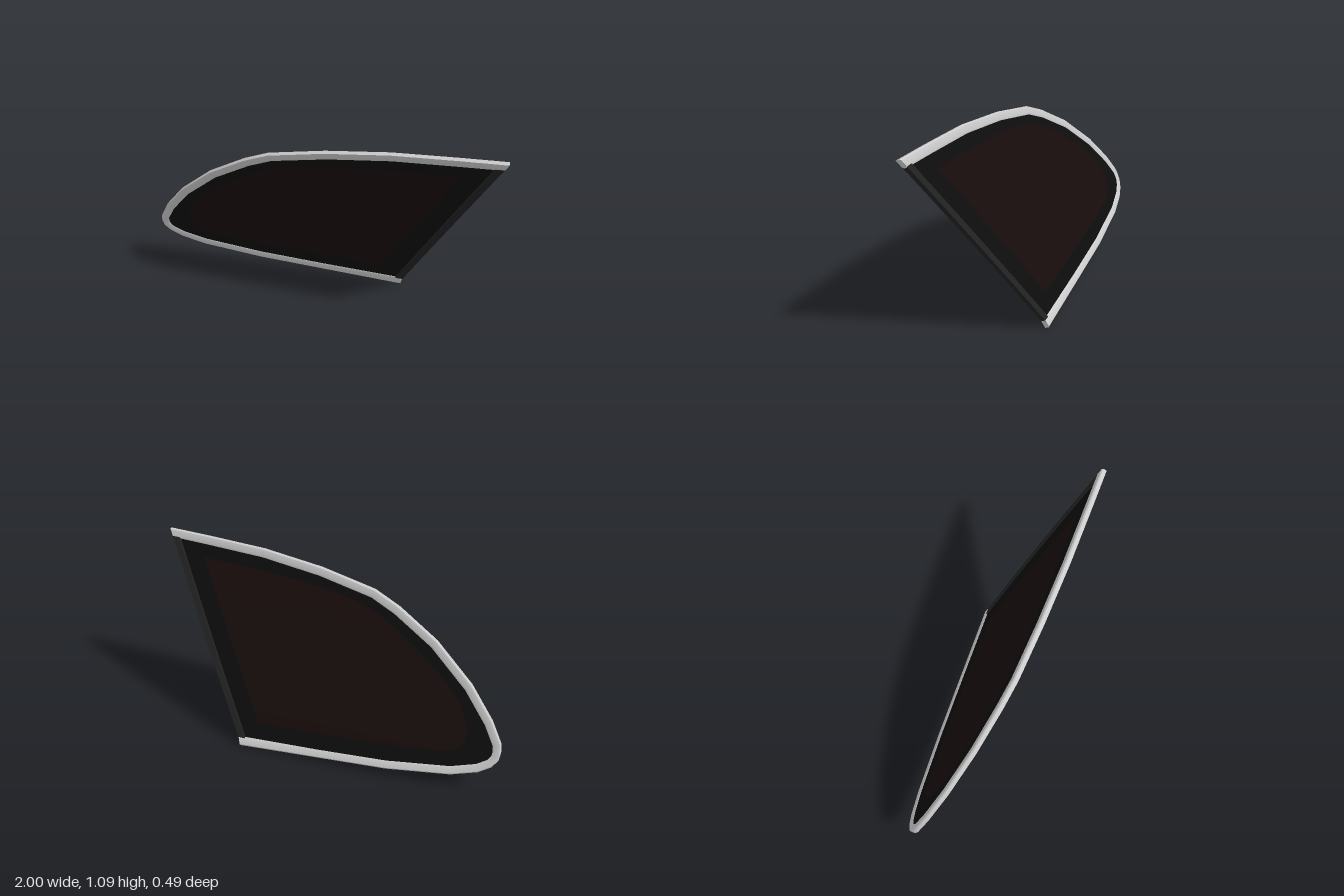
import * as THREE from 'three';
import { toCreasedNormals } from 'three/addons/utils/BufferGeometryUtils.js';
import { ParametricGeometry } from 'three/addons/geometries/ParametricGeometry.js';

// Outlines run from the top right corner round the pointed end to the bottom right
const outer = [[1, 1.085], [0.77, 1.075], [0.436, 1.056], [0.1, 1.012], [-0.206, 0.948], [-0.35, 0.885],
  [-0.575, 0.753], [-0.792, 0.572], [-0.928, 0.414], [-0.992, 0.31], [-1, 0.265], [-0.995, 0.225], [-0.965, 0.183],
  [-0.9, 0.143], [-0.757, 0.1], [-0.404, 0.055], [-0.01, 0.032], [0.457, 0.005]];
const tintEdge = [[0.78, 0.965], [0.35, 0.94], [0, 0.9], [-0.25, 0.83], [-0.5, 0.68], [-0.7, 0.52], [-0.79, 0.39],
  [-0.8, 0.28], [-0.72, 0.22], [-0.45, 0.19], [0, 0.165], [0.36, 0.15]];

const vec2 = (pts) => pts.map(([x, y]) => new THREE.Vector2(x, y));

// Maps a front outline point and a depth behind it onto the leaning, slightly bowed pane
function onPane(x, y, depth, target = new THREE.Vector3()) {
  const t = y / 1.09;
  const z = 0.22 + (y - 1.04) * 0.438 - 0.028 * t * (1 - t);
  return target.set(x, y + depth * 0.4, z - depth * 0.916);
}

// Inward direction at every point of a path; the ends can be cut at a given slant
function inwardDirs(path, startDir, endDir) {
  const n = path.length;
  const dirs = path.map((p, i) => {
    const d = path[Math.min(i + 1, n - 1)].clone().sub(path[Math.max(i - 1, 0)]).normalize();
    return new THREE.Vector2(-d.y, d.x);
  });
  if (startDir) dirs[0].set(...startDir);
  if (endDir) dirs[n - 1].set(...endDir);
  return dirs;
}

// Sweeps a closed (inset, depth) profile along a path, with capped ends
function sweep(path, dirs, profile) {
  const m = profile.length, pos = [], index = [];
  path.forEach((p, i) => profile.forEach(([u, d]) => {
    pos.push(...onPane(p.x + dirs[i].x * u, p.y + dirs[i].y * u, d).toArray());
  }));
  for (let s = 0; s < path.length - 1; s++) {
    for (let k = 0; k < m; k++) {
      const a = s * m + k, d = s * m + (k + 1) % m;
      index.push(a, a + m, d + m, a, d + m, d);
    }
  }
  const last = (path.length - 1) * m;
  for (let k = 1; k < m - 1; k++) {
    index.push(0, k, k + 1, last, last + k + 1, last + k);
  }
  const geo = new THREE.BufferGeometry();
  geo.setAttribute('position', new THREE.Float32BufferAttribute(pos, 3));
  geo.setIndex(index);
  return toCreasedNormals(geo, 0.6);
}

// Fills an outline by spanning its lower half to its upper half
function plate(path, depth, back) {
  const curve = new THREE.SplineCurve(path);
  return new ParametricGeometry((u, v, target) => {
    const w = 0.004 + 0.996 * u;
    const low = curve.getPoint(0.5 + 0.5 * w), high = curve.getPoint(0.5 - 0.5 * w);
    low.lerp(high, back ? 1 - v : v);
    onPane(low.x, low.y, depth, target);
  }, 40, 10);
}

export function createModel() {
  const group = new THREE.Group();
  group.name = 'quarterWindow';
  const add = (name, geo, color) => {
    const mesh = new THREE.Mesh(geo, new THREE.MeshStandardMaterial({ color }));
    mesh.name = name;
    group.add(mesh);
  };

  // Bright trim along the top, pointed end and bottom
  const path = vec2(outer);
  const dirs = inwardDirs(path, [-0.5, -1], [0.3, 1.15]);
  add('trim', sweep(path, dirs, [[0, 0], [0.034, 0], [0.044, 0.005], [0.044, 0.022], [0.036, 0.027], [0.006, 0.027], [0, 0.021]]), 0xcccccc);

  // Black border glass and its tinted centre, on both faces
  const glassEdge = path.map((p, i) => p.clone().addScaledVector(dirs[i], 0.03));
  const tint = vec2(tintEdge);
  for (const back of [false, true]) {
    const side = back ? 'Back' : 'Front';
    add('glassBorder' + side, plate(glassEdge, back ? 0.021 : 0.006, back), 0x0d0d0d);
    add('tintedGlass' + side, plate(tint, back ? 0.0225 : 0.0045, back), 0x180c0c);
  }

  // Rubber seal closing the straight slanted edge
  const low = new THREE.Vector2(0.47, 0.05), high = new THREE.Vector2(0.98, 1.046);
  const edge = Array.from({ length: 9 }, (_, i) => low.clone().lerp(high, i / 8));
  const sealDirs = inwardDirs(edge, [-1, 0], [-1, 0]).map(() => new THREE.Vector2(-1, 0));
  add('edgeSeal', sweep(edge, sealDirs, [[0, 0.001], [0.04, 0.001], [0.045, 0.006], [0.045, 0.021], [0.04, 0.026], [0, 0.026]]), 0x222222);

  return group;
}
